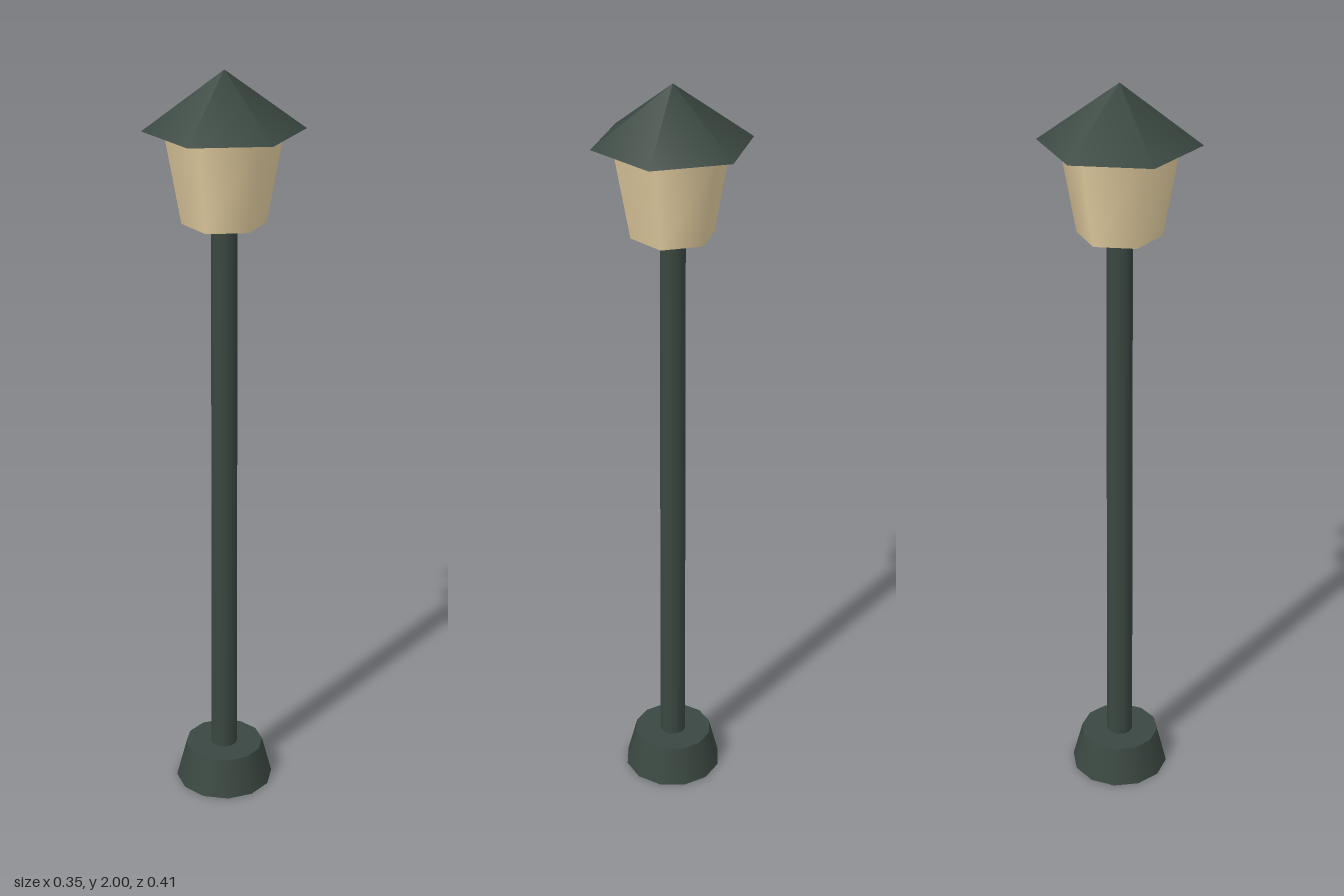
import * as THREE from 'three';

export function createModel() {
  const group = new THREE.Group();
  const darkGreen = new THREE.MeshStandardMaterial({ color: 0x3a4741 });
  darkGreen.name = 'dark green metal';
  const cream = new THREE.MeshStandardMaterial({ color: 0xe6d0a2 });
  cream.name = 'cream glass';

  // Tapered round or hexagonal section standing between two heights
  function section(name, material, bottomRadius, topRadius, y0, y1, sides) {
    const geometry = new THREE.CylinderGeometry(topRadius, bottomRadius, y1 - y0, sides);
    const mesh = new THREE.Mesh(geometry, material);
    mesh.name = name;
    mesh.position.y = (y0 + y1) / 2;
    group.add(mesh);
  }

  section('base', darkGreen, 0.134, 0.107, 0, 0.107, 12);
  section('pole', darkGreen, 0.036, 0.033, 0.1, 1.62, 12);
  section('lantern', cream, 0.107, 0.149, 1.618, 1.853, 6);

  // Pointed hexagonal roof with corners to front and back
  const roof = new THREE.Mesh(new THREE.ConeGeometry(0.203, 0.147, 6), darkGreen);
  roof.name = 'roof';
  roof.position.y = 1.9265;
  group.add(roof);

  return group;
}
